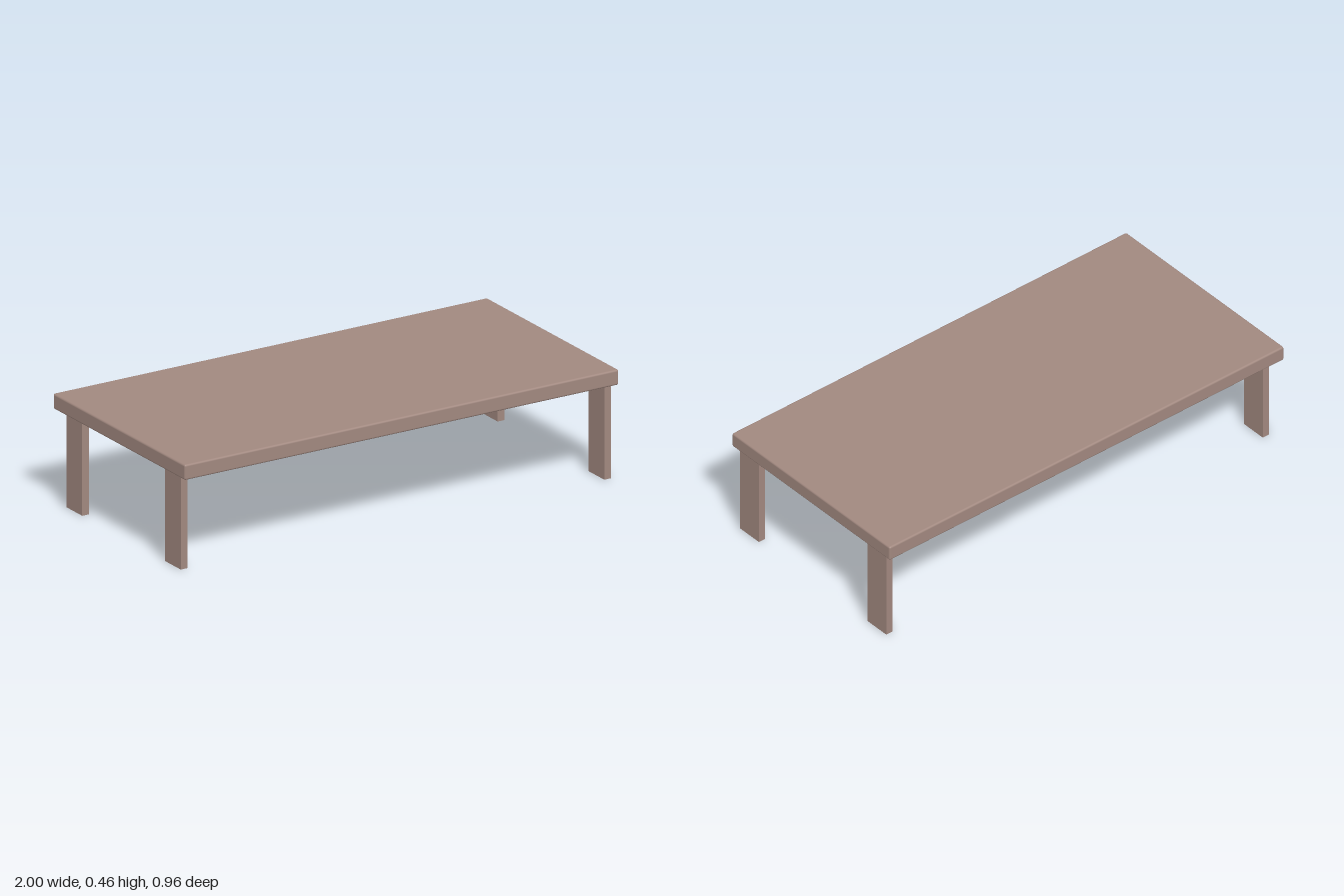
import * as THREE from 'three';
import { RoundedBoxGeometry } from 'three/addons/geometries/RoundedBoxGeometry.js';

export function createModel() {
  const group = new THREE.Group();
  group.name = 'lowTable';
  const wood = new THREE.MeshStandardMaterial({ color: 0xa1887f });
  wood.name = 'brownWood';

  const add = (name, geometry, x, y, z) => {
    const mesh = new THREE.Mesh(geometry, wood);
    mesh.name = name;
    mesh.position.set(x, y, z);
    group.add(mesh);
  };

  // Slab top with softly rounded edges
  const underside = 0.393, thickness = 0.064;
  add('tableTop', new RoundedBoxGeometry(2, thickness, 0.956, 3, 0.008), 0, underside + thickness / 2, 0);

  // Four flat plank legs, the right pair set slightly further in
  const leg = new THREE.BoxGeometry(0.032, underside + 0.002, 0.113);
  const legs = [
    ['frontLeftLeg', 0.968, 0.39],
    ['backLeftLeg', 0.968, -0.382],
    ['frontRightLeg', -0.962, 0.357],
    ['backRightLeg', -0.962, -0.357],
  ];
  for (const [name, x, z] of legs) add(name, leg, x, (underside + 0.002) / 2, z);

  return group;
}
